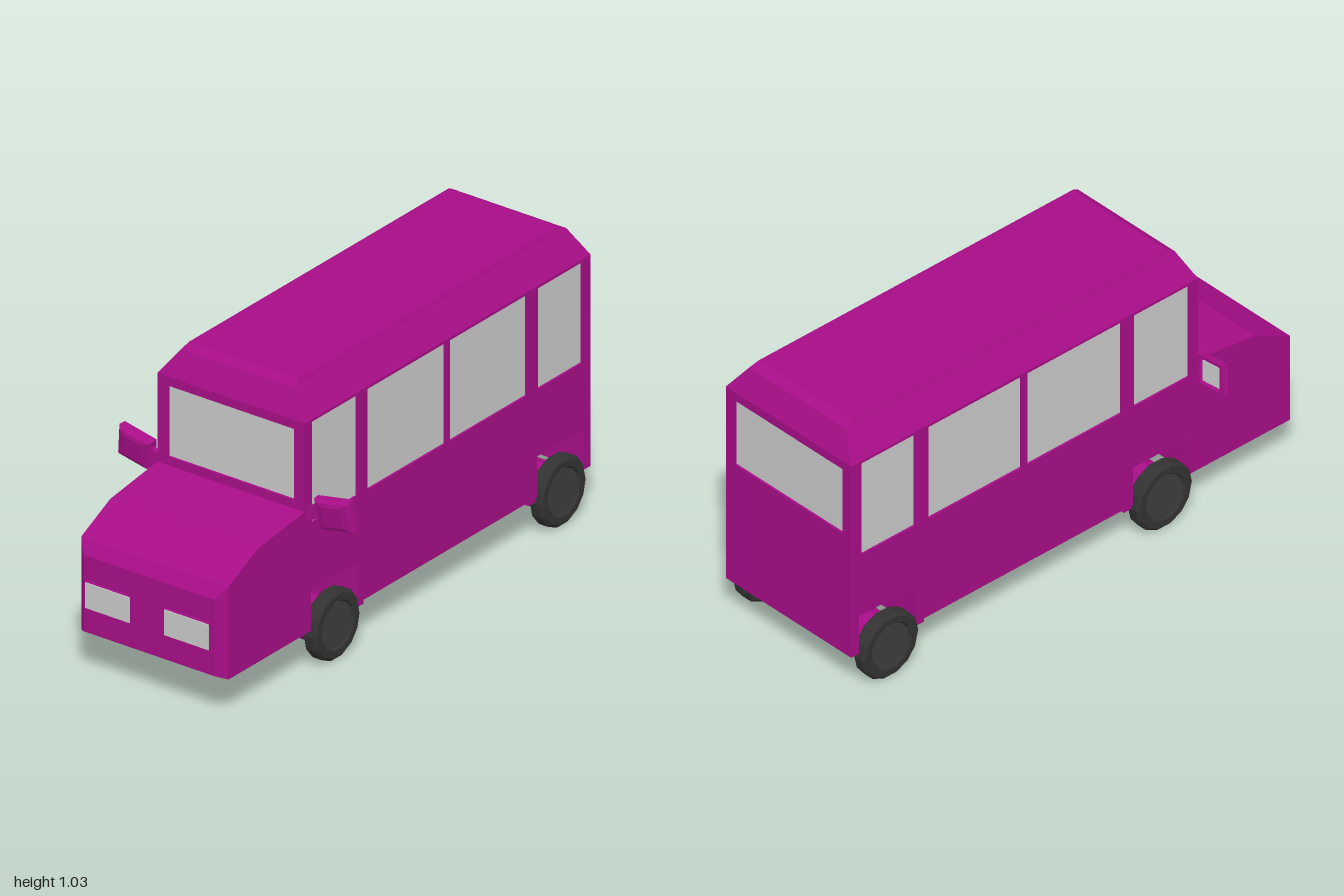
import * as THREE from 'three';

const W = 0.303; // half width of the body
const paint = new THREE.MeshStandardMaterial({ color: 0xa80e88, flatShading: true });
const grey = new THREE.MeshStandardMaterial({ color: 0xcccccc, flatShading: true });
const rubber = new THREE.MeshStandardMaterial({ color: 0x333333, flatShading: true });
const hubMat = new THREE.MeshStandardMaterial({ color: 0x3e3e3e, flatShading: true });

function add(parent, name, geometry, material, x = 0, y = 0, z = 0) {
  const mesh = new THREE.Mesh(geometry, material);
  mesh.name = name;
  mesh.position.set(x, y, z);
  parent.add(mesh);
  return mesh;
}

// Box given by its limits on each axis
function block(parent, name, material, [x0, x1], [y0, y1], [z0, z1]) {
  return add(parent, name, new THREE.BoxGeometry(x1 - x0, y1 - y0, z1 - z0), material,
    (x0 + x1) / 2, (y0 + y1) / 2, (z0 + z1) / 2);
}

// Rectangle [x0, x1, y0, y1] at depth z, anticlockwise seen from +z
const ring = (x0, x1, y0, y1, z) => [[x0, y0, z], [x1, y0, z], [x1, y1, z], [x0, y1, z]];

// Joins rectangular rings along +z and caps both ends
function loft(rings) {
  const p = [];
  const quad = (a, b, c, d) => p.push(...a, ...b, ...c, ...a, ...c, ...d);
  for (let i = 0; i + 1 < rings.length; i++) {
    for (let j = 0; j < 4; j++) {
      const k = (j + 1) % 4;
      quad(rings[i][j], rings[i][k], rings[i + 1][k], rings[i + 1][j]);
    }
  }
  const [a, b, c, d] = rings[0];
  quad(d, c, b, a);
  quad(...rings[rings.length - 1]);
  const g = new THREE.BufferGeometry();
  g.setAttribute('position', new THREE.Float32BufferAttribute(p, 3));
  g.computeVertexNormals();
  return g;
}

function rectPath(Type, [x0, x1, y0, y1]) {
  return new Type([[x0, y0], [x1, y0], [x1, y1], [x0, y1]].map((q) => new THREE.Vector2(...q)));
}

// Flat wall with rectangular openings, centred in its thickness
function wall(outline, openings, depth) {
  const shape = rectPath(THREE.Shape, outline);
  shape.holes = openings.map((o) => rectPath(THREE.Path, o));
  return new THREE.ExtrudeGeometry(shape, { depth, bevelEnabled: false }).translate(0, 0, -depth / 2);
}

function addBody(van) {
  // Lower body and bonnet: side profile (z, y) with notches for the wheels
  const profile = [
    [0.955, 0.15], [0.955, 0.49], [0.8, 0.565], [0.545, 0.6], [0.545, 0.54], [-1, 0.54],
    [-1, 0.15], [-0.965, 0.15], [-0.965, 0.3], [-0.71, 0.3], [-0.71, 0.15],
    [0.255, 0.15], [0.255, 0.3], [0.51, 0.3], [0.51, 0.15],
  ].map((q) => new THREE.Vector2(...q));
  const lower = new THREE.ExtrudeGeometry(new THREE.Shape(profile), { depth: 2 * W, bevelEnabled: false });
  add(van, 'lowerBody', lower.translate(0, 0, -W).rotateY(-Math.PI / 2), paint);

  add(van, 'nose', loft([ring(-W, W, 0.15, 0.49, 0.955), ring(-0.27, 0.27, 0.165, 0.445, 0.987)]), paint);
  block(van, 'frontSill', paint, [-0.298, 0.298], [0.132, 0.16], [0.22, 0.255]);
  block(van, 'rearSill', paint, [-0.298, 0.298], [0.132, 0.16], [-0.71, -0.672]);

  // Roof: stacked rings, turned so that the stacking axis points up
  const roof = loft([
    ring(-W, W, -0.545, 1, 0.925),
    ring(-0.235, 0.235, -0.505, 0.958, 1.018),
    ring(-0.225, 0.225, -0.475, 0.925, 1.036),
  ]);
  add(van, 'roof', roof.rotateX(-Math.PI / 2), paint);
}

function addCabin(van) {
  const t = 0.02, inset = 0.008;
  const sideWindows = [[0.26, 0.505], [-0.215, 0.205], [-0.655, -0.24], [-0.955, -0.715]]
    .map(([a, b]) => [a, b, 0.545, 0.915]);
  for (const s of [1, -1]) {
    const side = wall([-1, 0.545, 0.54, 0.925], sideWindows, t).rotateY(-Math.PI / 2);
    add(van, 'sideWall', side, paint, s * (W - t / 2));
    for (const [z0, z1, y0, y1] of sideWindows) {
      const x = s * (W - inset);
      block(van, 'sideWindow', grey, [Math.min(x, x - s * 0.01), Math.max(x, x - s * 0.01)], [y0, y1], [z0, z1]);
    }
  }
  // Front and rear walls share one opening
  const opening = [-0.26, 0.26, 0.632, 0.892];
  const end = wall([-W + t, W - t, 0.54, 0.925], [opening], t);
  add(van, 'frontWall', end, paint, 0, 0, 0.545 - t / 2);
  add(van, 'rearWall', end, paint, 0, 0, -1 + t / 2);
  const pane = new THREE.BoxGeometry(0.52, 0.26, 0.01);
  add(van, 'windscreen', pane, grey, 0, 0.762, 0.54 - inset);
  add(van, 'rearWindow', pane, grey, 0, 0.762, -0.995 + inset);
}

function addHeadlights(van) {
  for (const s of [1, -1]) {
    const box = new THREE.BoxGeometry(0.187, 0.097, 0.02);
    add(van, 'headlightHousing', box, paint, s * 0.1625, 0.307, 0.986);
    add(van, 'headlight', new THREE.BoxGeometry(0.183, 0.093, 0.01), grey, s * 0.1625, 0.307, 0.995);
  }
}

function addMirrors(van) {
  const r = (w, h, z) => ring(-w / 2, w / 2, -h / 2, h / 2, z);
  // Rounded shell with a recess for the glass at the back
  const shell = loft([
    r(0.09, 0.075, -0.009), r(0.105, 0.09, -0.02), r(0.14, 0.112, -0.02),
    r(0.144, 0.114, 0.004), r(0.12, 0.1, 0.017), r(0.07, 0.075, 0.022),
  ]);
  for (const s of [1, -1]) {
    const mirror = new THREE.Group();
    mirror.name = 'wingMirror';
    mirror.position.set(s * 0.412, 0.611, 0.517);
    mirror.rotation.set(0.12, s * 0.08, s * 0.148);
    add(mirror, 'mirrorShell', shell, paint);
    add(mirror, 'mirrorGlass', new THREE.BoxGeometry(0.088, 0.073, 0.004), grey, 0, 0, -0.011);
    van.add(mirror);
    const stalk = add(van, 'mirrorStalk', new THREE.BoxGeometry(0.07, 0.046, 0.018), paint, s * 0.322, 0.598, 0.524);
    stalk.rotation.z = s * 0.6;
  }
}

function addWheels(van) {
  // Tyre profile (radius, offset along the axle) with a sunken hub
  const tyre = new THREE.LatheGeometry([
    [0, -0.0275], [0.115, -0.0275], [0.126, -0.018], [0.126, 0.018],
    [0.115, 0.0275], [0.09, 0.0275], [0.083, 0.018], [0, 0.018],
  ].map((q) => new THREE.Vector2(...q)), 14).rotateZ(-Math.PI / 2);
  const hub = new THREE.CylinderGeometry(0.082, 0.082, 0.01, 14).rotateZ(Math.PI / 2);
  const axle = new THREE.CylinderGeometry(0.08, 0.08, 0.53, 12).rotateZ(Math.PI / 2);
  for (const z of [0.385, -0.835]) {
    add(van, 'axle', axle, paint, 0, 0.125, z);
    for (const s of [1, -1]) {
      const wheel = new THREE.Group();
      wheel.name = 'wheel';
      wheel.position.set(s * 0.2925, 0.125, z);
      wheel.rotation.y = s > 0 ? 0 : Math.PI;
      add(wheel, 'tyre', tyre, rubber);
      add(wheel, 'hub', hub, hubMat, 0.016);
      van.add(wheel);
    }
  }
}

export function createModel() {
  const van = new THREE.Group();
  van.name = 'van';
  addBody(van);
  addCabin(van);
  addHeadlights(van);
  addMirrors(van);
  addWheels(van);
  return van;
}
